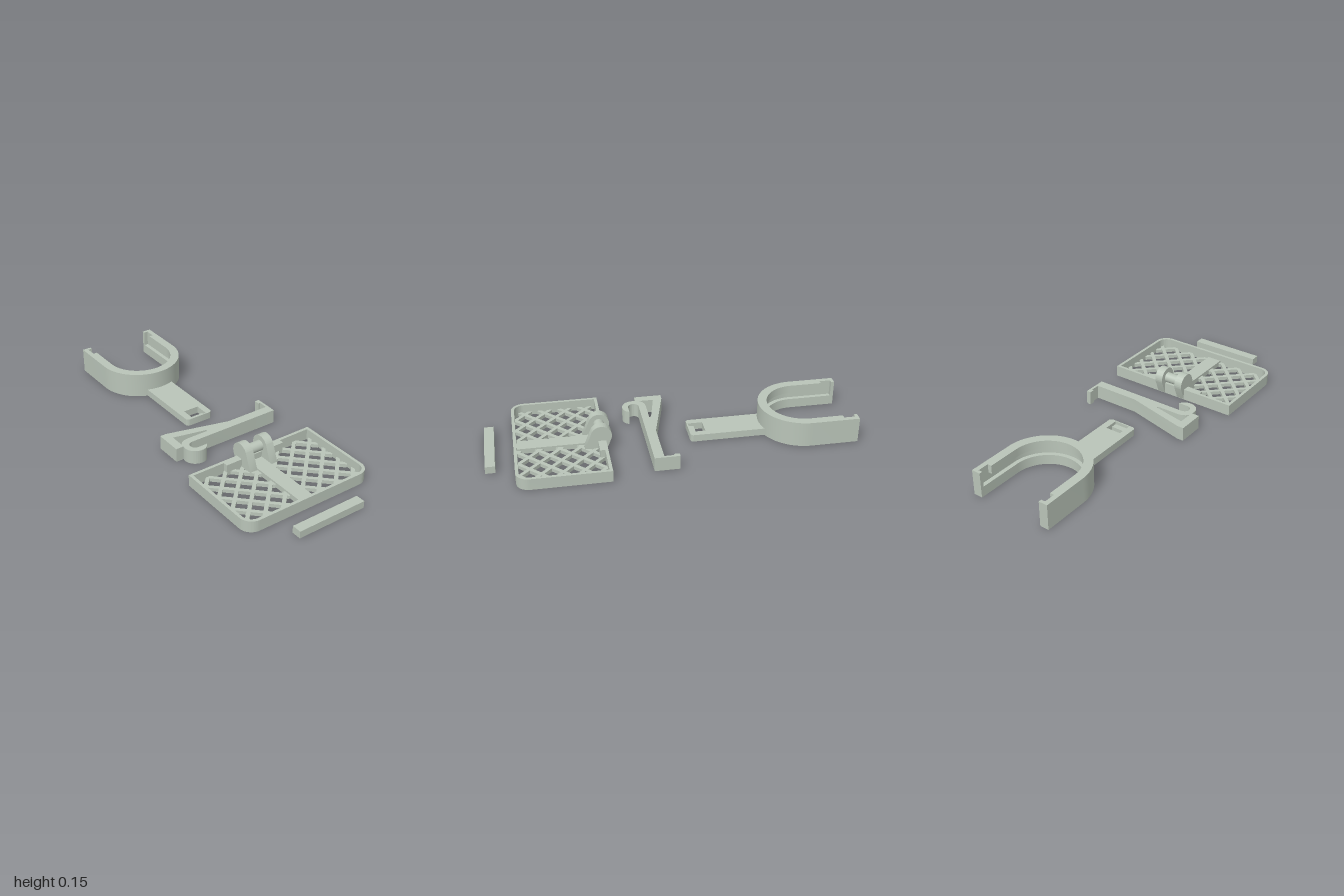
import * as THREE from 'three';
import { toCreasedNormals } from 'three/addons/utils/BufferGeometryUtils.js';

const plastic = new THREE.MeshStandardMaterial({ color: 0xb9c4b8 });
plastic.name = 'grey green plastic';

function addMesh(parent, name, geometry) {
  const mesh = new THREE.Mesh(geometry, plastic);
  mesh.name = name;
  parent.add(mesh);
  return mesh;
}

function addGroup(parent, name) {
  const g = new THREE.Group();
  g.name = name;
  parent.add(g);
  return g;
}

// Box given by its limits
function box(parent, name, x0, x1, y0, y1, z0, z1) {
  const m = addMesh(parent, name, new THREE.BoxGeometry(x1 - x0, y1 - y0, z1 - z0));
  m.position.set((x0 + x1) / 2, (y0 + y1) / 2, (z0 + z1) / 2);
  return m;
}

// Plan outline (x, -z) raised from y0 to y1
function slab(parent, name, shape, y0, y1) {
  const geo = new THREE.ExtrudeGeometry(shape, { depth: y1 - y0, bevelEnabled: false, curveSegments: 32 });
  geo.rotateX(-Math.PI / 2);
  geo.translate(0, y0, 0);
  return addMesh(parent, name, toCreasedNormals(geo, 0.5));
}

// U-shaped band opening towards -x
function bandShape(outer, inner, startX) {
  const cx = -0.74;
  const s = new THREE.Shape();
  s.moveTo(startX, -outer);
  s.lineTo(cx, -outer);
  s.absarc(cx, 0, outer, -Math.PI / 2, Math.PI / 2, false);
  s.lineTo(startX, outer);
  s.lineTo(startX, inner);
  s.lineTo(cx, inner);
  s.absarc(cx, 0, inner, Math.PI / 2, -Math.PI / 2, true);
  s.lineTo(startX, -inner);
  s.closePath();
  return s;
}

// Rectangle with its +x corners rounded
function roundedEnd(Path, x0, x1, h, r) {
  const s = new Path();
  s.moveTo(x0, -h);
  s.lineTo(x1 - r, -h);
  s.absarc(x1 - r, -h + r, r, -Math.PI / 2, 0, false);
  s.absarc(x1 - r, h - r, r, 0, Math.PI / 2, false);
  s.lineTo(x0, h);
  s.closePath();
  return s;
}

function buildClamp(root) {
  const clamp = addGroup(root, 'clamp');
  // Outer wall with two inner lips and a groove between them
  slab(clamp, 'clampWall', bandShape(0.237, 0.21, -1), 0, 0.142);
  slab(clamp, 'lowerLip', bandShape(0.212, 0.187, -1), 0, 0.055);
  slab(clamp, 'upperLip', bandShape(0.212, 0.187, -0.92), 0.095, 0.142);
  for (const s of [-1, 1]) {
    box(clamp, 'endStop', -1, -0.982, 0, 0.142, Math.min(s * 0.187, s * 0.212), Math.max(s * 0.187, s * 0.212));
  }
  // Handle with a slot and a low cross bar
  const handle = roundedEnd(THREE.Shape, -0.535, -0.105, 0.083, 0.018);
  const slot = new THREE.Path();
  slot.moveTo(-0.193, -0.045);
  slot.lineTo(-0.193, 0.045);
  slot.lineTo(-0.112, 0.045);
  slot.lineTo(-0.112, -0.045);
  slot.closePath();
  handle.holes.push(slot);
  slab(clamp, 'handle', handle, 0, 0.04);
  box(clamp, 'slotBar', -0.145, -0.108, 0, 0.022, -0.046, 0.046);
}

function buildHook(root) {
  const cx = 0.166, cy = -0.217;
  const s = new THREE.Shape();
  s.moveTo(0, 0.332);
  s.lineTo(0, 0.307);
  s.lineTo(0.03, 0.307);
  s.lineTo(0.03, 0.318);
  s.lineTo(0.083, 0.318);
  s.lineTo(0.083, 0.06);
  s.lineTo(-0.006, -0.286);
  s.lineTo(-0.006, -0.323);
  s.lineTo(0.147, -0.323);
  s.lineTo(0.147, -0.278);
  // Curled tip
  s.absarc(cx, cy, 0.064, -1.87, 0, false);
  s.quadraticCurveTo(0.23, -0.178, 0.196, -0.163);
  s.lineTo(0.196, cy);
  s.absarc(cx, cy, 0.03, 0, -Math.PI, true);
  s.lineTo(0.136, 0.332);
  s.closePath();
  const gap = new THREE.Path();
  gap.moveTo(0.086, -0.09);
  gap.lineTo(0.096, -0.09);
  gap.lineTo(0.096, -0.22);
  gap.quadraticCurveTo(0.1, -0.262, 0.128, -0.276);
  gap.lineTo(0.045, -0.276);
  gap.closePath();
  s.holes.push(gap);
  slab(addGroup(root, 'hook'), 'hookBody', s, 0, 0.079);
}

function buildTray(root) {
  const tray = addGroup(root, 'tray');
  const rim = roundedEnd(THREE.Shape, 0.357, 0.847, 0.388, 0.07);
  rim.holes.push(roundedEnd(THREE.Path, 0.374, 0.83, 0.371, 0.053));
  slab(tray, 'rim', rim, 0, 0.064);
  box(tray, 'centreRib', 0.372, 0.832, 0, 0.03, -0.042, 0.042);
  box(tray, 'hingeBacking', 0.37, 0.4, 0, 0.064, -0.183, 0.183);

  // Diagonal lattice in both halves
  const x0 = 0.372, x1 = 0.832, pitch = 0.113;
  for (const side of [-1, 1]) {
    const z0 = side > 0 ? 0.04 : -0.373, z1 = side > 0 ? 0.373 : -0.04;
    for (const dir of [-1, 1]) {
      for (let k = -12; k <= 12; k++) {
        // Line x = c + dir * z, cut to the half
        const c = 0.602 + (k + 0.5) * pitch;
        const za = dir > 0 ? x0 - c : c - x1, zb = dir > 0 ? x1 - c : c - x0;
        const a = Math.max(z0, za), b = Math.min(z1, zb);
        if (b - a < 0.015) continue;
        const bar = addMesh(tray, 'latticeBar', new THREE.BoxGeometry(0.021, 0.02, (b - a) * Math.SQRT2));
        const zm = (a + b) / 2;
        bar.position.set(c + dir * zm, 0.01, zm);
        bar.rotation.y = dir * Math.PI / 4;
      }
    }
  }

  // Hinge lugs and pin
  const lug = new THREE.Shape();
  lug.moveTo(0.357, 0.002);
  lug.lineTo(0.472, 0.002);
  lug.lineTo(0.472, 0.02);
  lug.absarc(0.382, 0.092, 0.057, 0.35, Math.PI + 0.3, false);
  lug.closePath();
  for (const z of [-0.088, 0.042]) {
    const geo = new THREE.ExtrudeGeometry(lug, { depth: 0.046, bevelEnabled: false, curveSegments: 32 });
    addMesh(tray, 'hingeLug', toCreasedNormals(geo, 0.5)).position.z = z;
  }
  const pin = addMesh(tray, 'hingePin', new THREE.CylinderGeometry(0.029, 0.029, 0.1, 32));
  pin.rotation.x = Math.PI / 2;
  pin.position.set(0.382, 0.093, 0);
}

export function createModel() {
  const root = new THREE.Group();
  root.name = 'holderParts';
  buildClamp(root);
  buildHook(root);
  buildTray(root);
  box(root, 'looseBar', 0.947, 1, 0, 0.04, -0.202, 0.202);
  return root;
}
